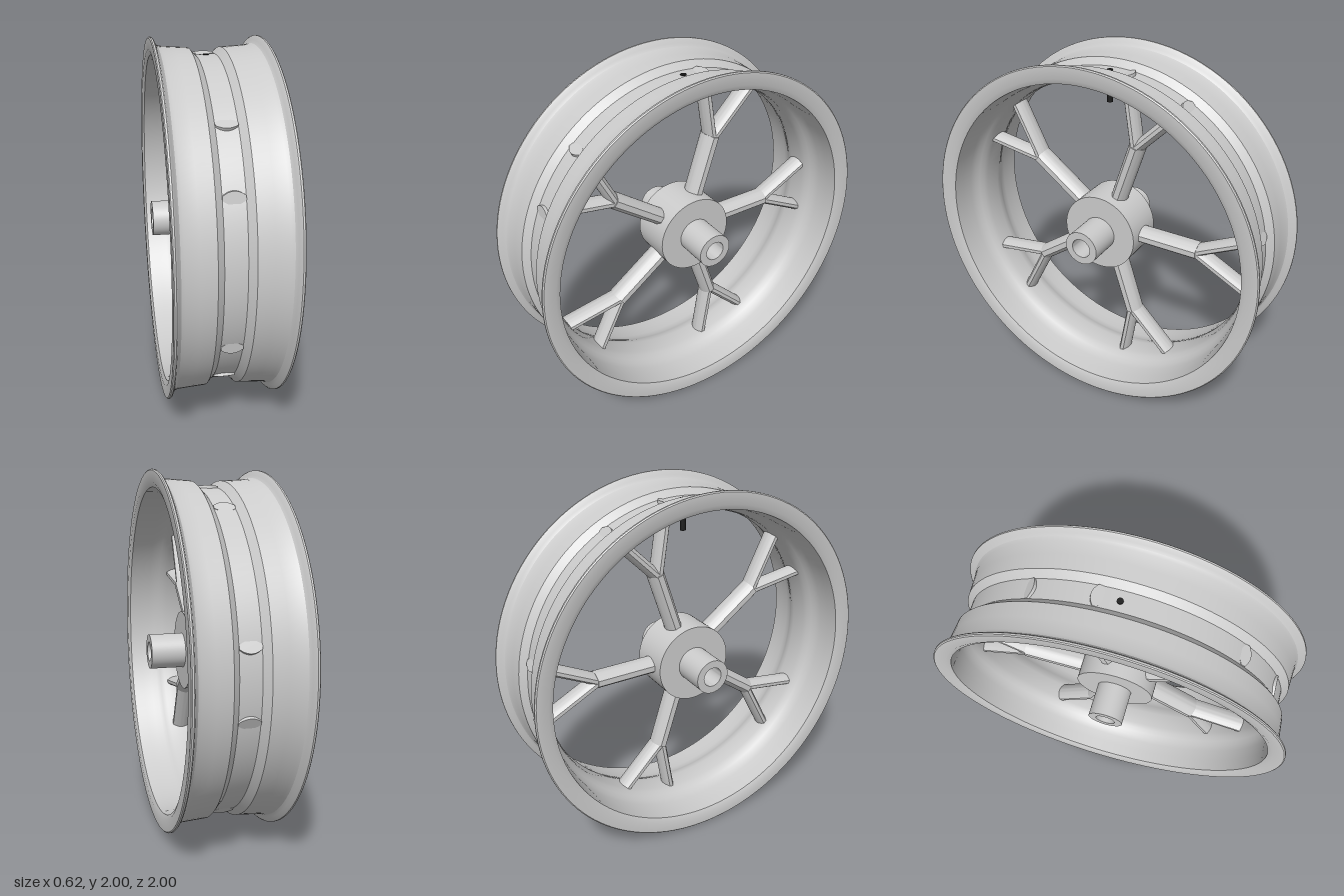
import * as THREE from 'three';
import { toCreasedNormals } from 'three/addons/utils/BufferGeometryUtils.js';

const grey = new THREE.MeshStandardMaterial({ color: 0xcccccc });
const black = new THREE.MeshStandardMaterial({ color: 0x1c1c1c });

function part(name, geometry, material = grey) {
  const mesh = new THREE.Mesh(geometry, material);
  mesh.name = name;
  return mesh;
}

// Closed ring turned about the x axis; profile is [x, radius] pairs
function turned(name, profile, segments) {
  const points = [...profile, profile[0]].map(([x, r]) => new THREE.Vector2(r, x));
  const geometry = new THREE.LatheGeometry(points, segments).rotateZ(-Math.PI / 2);
  return part(name, toCreasedNormals(geometry, 0.5));
}

// Bar along +z: bulging top and bottom, narrow flat sides
function bar(name, halfWidth, halfHeight, flat, length) {
  const bulge = 2 * halfHeight - flat;
  const shape = new THREE.Shape();
  shape.moveTo(-halfWidth, -flat);
  shape.quadraticCurveTo(0, -bulge, halfWidth, -flat);
  shape.lineTo(halfWidth, flat);
  shape.quadraticCurveTo(0, bulge, -halfWidth, flat);
  shape.closePath();
  const geometry = new THREE.ExtrudeGeometry(shape, { depth: length, bevelEnabled: false, curveSegments: 16 });
  return part(name, toCreasedNormals(geometry, 0.4));
}

// Stem that forks into two branches reaching through the rim
function createSpoke() {
  const spoke = new THREE.Group();
  spoke.name = 'spoke';
  const stem = bar('spokeStem', 0.062, 0.046, 0.016, 0.4);
  stem.position.z = 0.16;
  spoke.add(stem);
  for (const side of [-1, 1]) {
    const branch = bar('spokeBranch', 0.055, 0.032, 0.01, 0.395);
    branch.position.z = 0.545;
    branch.rotation.x = side * THREE.MathUtils.degToRad(27);
    spoke.add(branch);
  }
  return spoke;
}

export function createModel() {
  const wheel = new THREE.Group();
  wheel.name = 'wheel';

  // Rim: flanged outside with a centre channel, smooth hollow inside
  const outer = [
    [0.055, 0.908], [0.09, 0.943], [0.17, 0.948], [0.24, 0.953], [0.258, 0.96],
    [0.27, 0.975], [0.278, 0.994], [0.284, 1], [0.293, 1], [0.298, 0.994],
  ];
  const inner = [
    [0.298, 0.932], [0.285, 0.905], [0.22, 0.9], [0.16, 0.895],
    [0.125, 0.888], [0.1, 0.875], [0.075, 0.862], [0.045, 0.856],
  ];
  const mirrored = (list) => list.map(([x, r]) => [-x, r]);
  const profile = [
    ...mirrored(outer).reverse(), ...outer,
    ...inner, ...mirrored(inner).reverse(),
  ];
  wheel.add(turned('rim', profile, 128));

  // Hub drum and axle tube with a through bore
  wheel.add(turned('hub', [[-0.12, 0.22], [0.12, 0.22], [0.12, 0.055], [-0.12, 0.055]], 64));
  wheel.add(turned('axleTube', [[-0.31, 0.097], [0.31, 0.097], [0.31, 0.055], [-0.31, 0.055]], 48));

  // Five forked spokes, the first pointing to the back
  for (let i = 0; i < 5; i++) {
    const spoke = createSpoke();
    spoke.rotation.x = Math.PI + (i * 2 * Math.PI) / 5;
    wheel.add(spoke);
  }

  // Valve stem at the top of the rim
  const valve = part('valveStem', new THREE.CylinderGeometry(0.016, 0.016, 0.172, 20), black);
  valve.position.y = 0.826;
  wheel.add(valve);

  wheel.position.y = 1;
  const model = new THREE.Group();
  model.name = 'wheelModel';
  model.add(wheel);
  return model;
}
